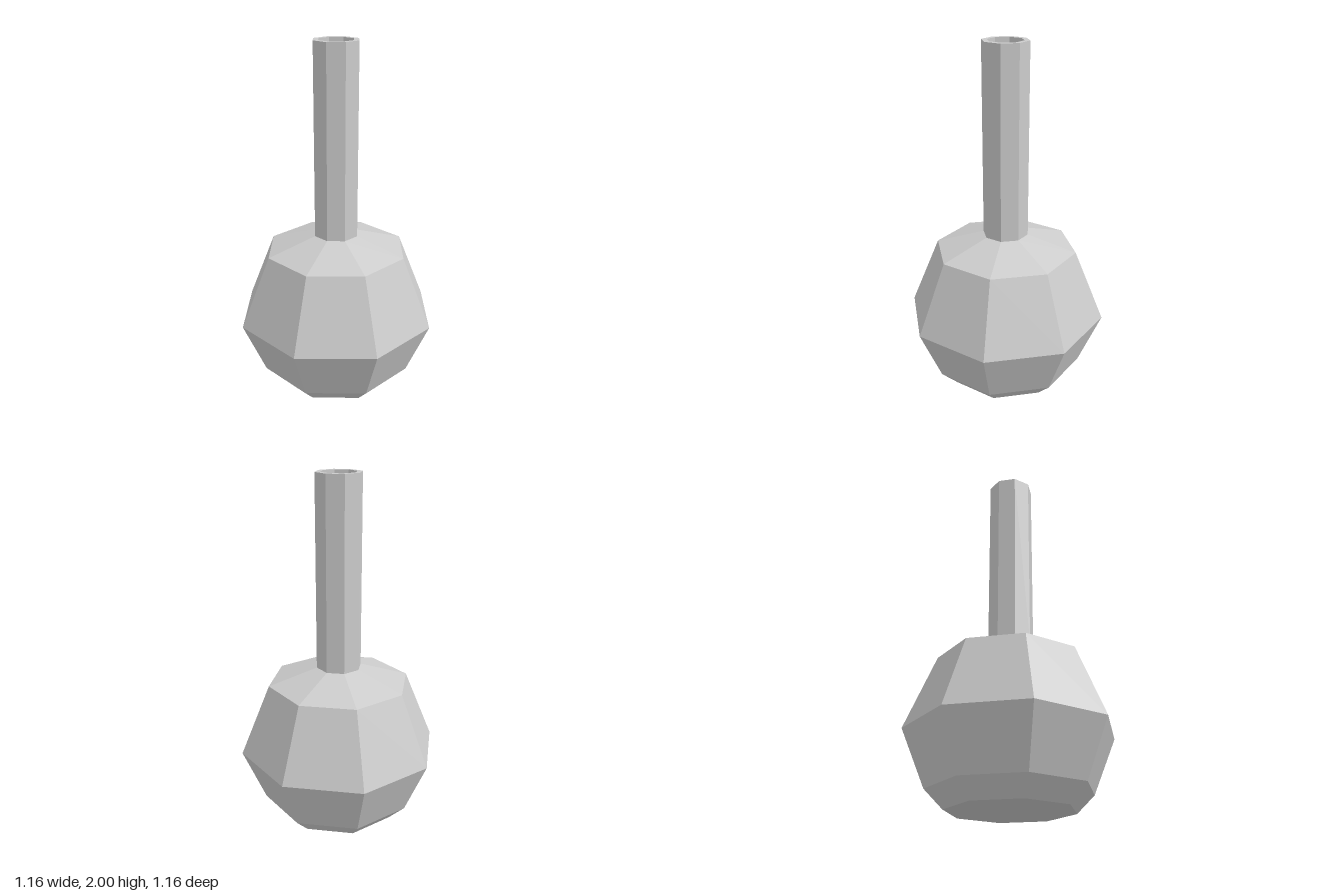
import * as THREE from 'three';

const SIDES = 8;

// Faceted solid of revolution; profile is [radius, height] pairs, corners on the axes
function turned(name, profile) {
  const points = profile.map(([r, y]) => new THREE.Vector2(r, y));
  const material = new THREE.MeshStandardMaterial({ color: 0xcccccc, flatShading: true });
  const mesh = new THREE.Mesh(new THREE.LatheGeometry(points, SIDES), material);
  mesh.name = name;
  return mesh;
}

export function createModel() {
  const flask = new THREE.Group();
  flask.name = 'flask';

  // Round belly with a flat foot and sloping shoulder
  flask.add(turned('belly', [
    [0, 0], [0.35, 0], [0.45, 0.1], [0.58, 0.41], [0.41, 0.82], [0.13, 0.91],
  ]));

  // Straight neck with a flat rim and a hollow bore
  flask.add(turned('neck', [
    [0.13, 0.91], [0.13, 2], [0.1, 2], [0.1, 0.91], [0, 0.91],
  ]));

  return flask;
}
